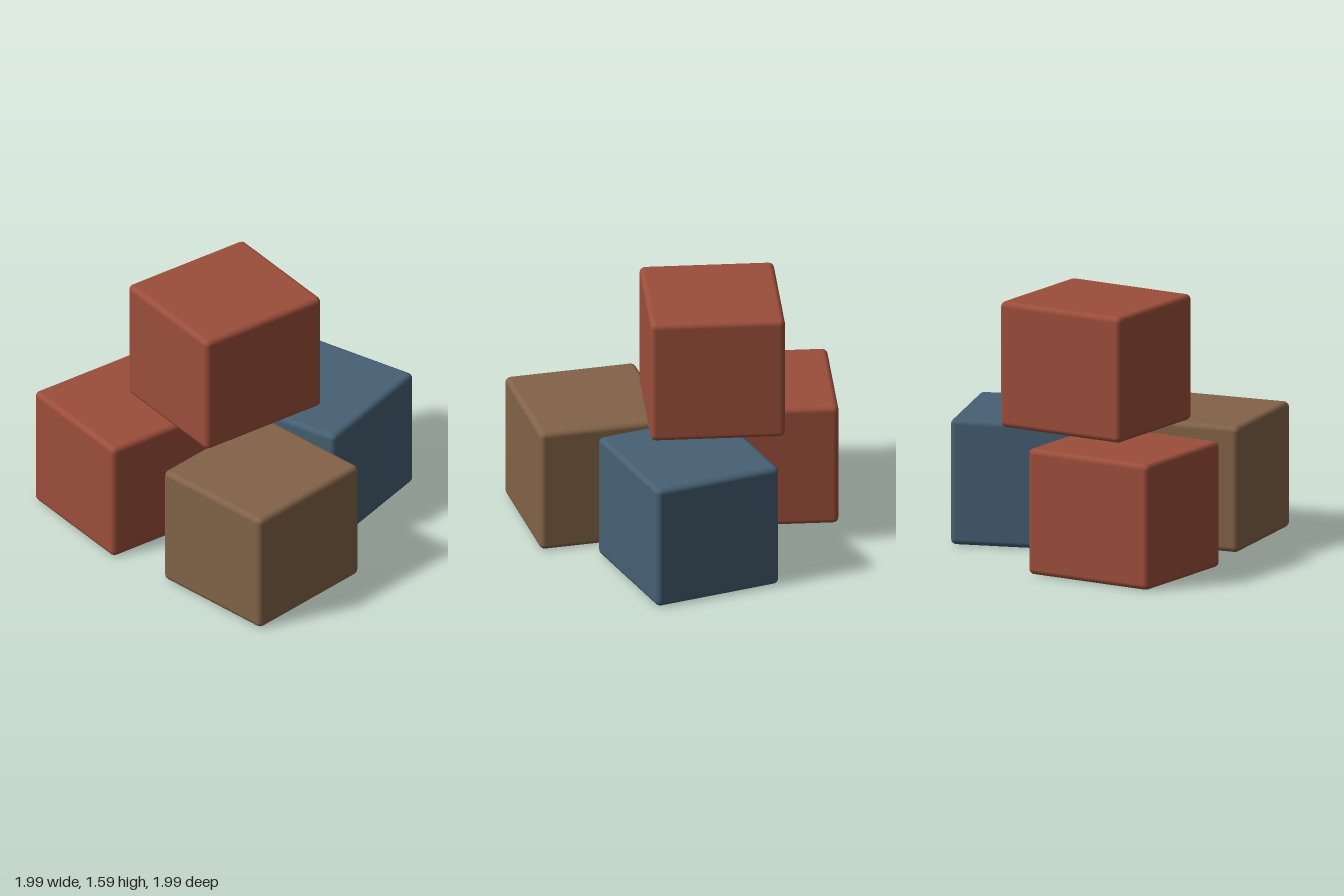
import * as THREE from 'three';
import { RoundedBoxGeometry } from 'three/addons/geometries/RoundedBoxGeometry.js';

const W = 0.825, H = 0.787, D = 0.875, EDGE = 0.035;

export function createModel() {
  const model = new THREE.Group();
  model.name = 'stackedCrates';
  const geometry = new RoundedBoxGeometry(W, H, D, 2, EDGE);
  const paint = (color) => new THREE.MeshStandardMaterial({ color });
  const red = paint(0x9c4e3b), blue = paint(0x466073), brown = paint(0x826347);

  // Each crate: name, material, centre x, base y, centre z, turn in degrees
  const crates = [
    ['redCrateLower', red, -0.587, 0, 0.553, 0],
    ['brownCrate', brown, 0.518, 0, 0.378, 10],
    ['blueCrate', blue, -0.032, 0, -0.455, 20],
    ['redCrateUpper', red, -0.223, 0.798, 0.113, 0],
  ];
  for (const [name, material, x, base, z, turn] of crates) {
    const crate = new THREE.Mesh(geometry, material);
    crate.name = name;
    crate.position.set(x, base + H / 2, z);
    crate.rotation.y = THREE.MathUtils.degToRad(turn);
    model.add(crate);
  }
  return model;
}
